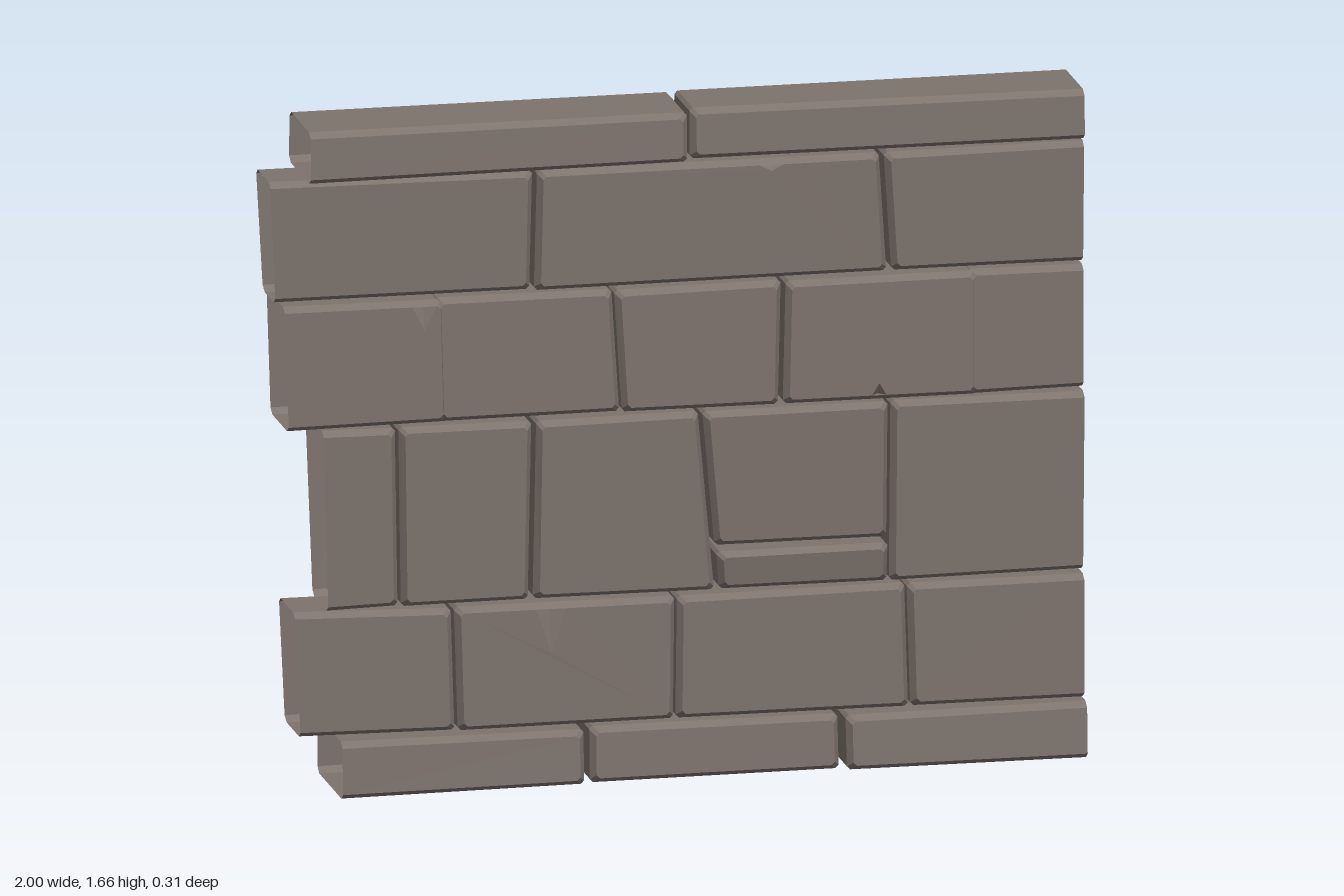
import * as THREE from 'three';

const { lerp } = THREE.MathUtils;
const BEVEL = 0.013; // bevel width across the face
const DEPTH = 0.02; // bevel width along z
const CUT = 0.008;

// One bevelled stone. q = bottom-left, bottom-right, top-right, top-left corners.
// z = [front at bottom, front at top, back at bottom, back at top].
// taper pulls the front face in towards the left end.
// Stones at the wall ends are hollow and open on that side.
function stoneGeometry(q, z, taper, openL, openR, chips) {
  const [bl, br, tr, tl] = q;
  const w = (br[0] - bl[0] + tr[0] - tl[0]) / 2;
  const h = (tl[1] - bl[1] + tr[1] - br[1]) / 2;
  const at = (u, v, k) => lerp(lerp(bl[k], br[k], u), lerp(tl[k], tr[k], u), v);
  const frontZ = (u, v) => lerp(z[0], z[1], v) - taper * (1 - u);
  const backZ = (u, v) => lerp(z[2], z[3], v);

  // Eight-point outline with cut corners, two points per corner
  const ring = (inset, faceZ, dz) => {
    const l = openL ? 0 : inset / w, r = openR ? 1 : 1 - inset / w;
    const b = inset / h, t = 1 - b;
    const cl = openL ? 0 : CUT, cr = openR ? 0 : CUT;
    return [[l, b + cl / h], [l + cl / w, b], [r - cr / w, b], [r, b + cr / h],
      [r, t - cr / h], [r - cr / w, t], [l + cl / w, t], [l, t - cl / h]]
      .map(([u, v]) => [at(u, v, 0), at(u, v, 1), faceZ(u, v) + dz]);
  };
  const rings = [ring(BEVEL, backZ, 0), ring(0, backZ, DEPTH),
    ring(0, frontZ, -DEPTH), ring(BEVEL, frontZ, 0)];

  const pos = [];
  const tri = (a, b, c) => pos.push(...a, ...b, ...c);
  for (let k = 0; k < 3; k++) {
    for (let i = 0; i < 8; i++) {
      if ((openL && i === 7) || (openR && i === 3)) continue;
      const j = (i + 1) % 8, A = rings[k], B = rings[k + 1];
      tri(A[i], A[j], B[j]);
      tri(A[i], B[j], B[i]);
    }
  }

  // Front or back face, with an optional chip in its top or bottom edge
  const cap = (loop, chip, isFront) => {
    const pts = [...loop];
    const put = (a, b, c) => (isFront ? tri(a, b, c) : tri(a, c, b));
    if (chip) {
      const e = chip.bottom ? 1 : 5, d = chip.bottom ? 1 : -1;
      const p = loop[e], n = loop[e + 1];
      const on = (x) => {
        const k = (x - p[0]) / (n[0] - p[0]);
        return [x, lerp(p[1], n[1], k), lerp(p[2], n[2], k)];
      };
      const a = on(chip.x - d * chip.half), b = on(chip.x + d * chip.half), m = on(chip.x);
      const tip = [chip.x, m[1] + d * chip.length, m[2]];
      m[2] += isFront ? -0.02 : 0.02;
      pts.splice(e + 1, 0, a, tip, b);
      put(a, m, tip);
      put(m, b, tip);
    }
    const flat = pts.map((p) => new THREE.Vector2(p[0], p[1]));
    for (const [a, b, c] of THREE.ShapeUtils.triangulateShape(flat, [])) put(pts[a], pts[b], pts[c]);
  };
  cap(rings[3], chips.front, true);
  cap(rings[0], chips.back, false);

  const g = new THREE.BufferGeometry();
  g.setAttribute('position', new THREE.Float32BufferAttribute(pos, 3));
  g.computeVertexNormals();
  return g;
}

// One row of stones between slanted joints, given by their x at the bottom and top.
// gaps = half width of each inner joint; below zero the stones run into each other.
function buildCourse(material, { name, y0, y1, z, bottom, top, gaps, thick, split, tapers = {}, chips = {} }) {
  const group = new THREE.Group();
  group.name = name;
  const last = thick.length - 1;
  const uneven = (k) => 0.005 * Math.abs(Math.sin(k * 2.3));

  thick.forEach((scale, i) => {
    const openL = i === 0, openR = i === last;
    const gl = openL ? 0 : gaps[i - 1], gr = openR ? 0 : gaps[i];
    const add = (low, high, label) => {
      const corner = (j, y, dx) => {
        const v = (y - y0) / (y1 - y0);
        return [lerp(bottom[j], top[j], v) + dx, y];
      };
      const q = [corner(i, low + uneven(i), gl), corner(i + 1, low + uneven(i + 1), -gr),
        corner(i + 1, high - uneven(i + 2), -gr), corner(i, high - uneven(i + 3), gl)];
      const depth = z.map((d) => d * scale);
      const mesh = new THREE.Mesh(
        stoneGeometry(q, depth, tapers[i] ?? 0, openL, openR, chips[i] ?? {}), material);
      mesh.name = label;
      group.add(mesh);
    };
    if (split && split.stone === i) {
      add(y0, split.y - 0.005, `stone${i + 1}Lower`);
      add(split.y, y1, `stone${i + 1}Upper`);
    } else {
      add(y0, y1, `stone${i + 1}`);
    }
  });
  return group;
}

export function createModel() {
  const stone = new THREE.MeshStandardMaterial({ color: 0x7d736d, side: THREE.DoubleSide });
  stone.name = 'brownGreyStone';
  const wall = new THREE.Group();
  wall.name = 'stoneWall';
  const add = (course) => wall.add(buildCourse(stone, course));

  add({
    name: 'baseCourse', y0: 0, y1: 0.143, z: [0.148, 0.14, -0.15, -0.145], gaps: [0.008, 0.008],
    bottom: [-0.835, -0.228, 0.402, 1], top: [-0.835, -0.228, 0.4, 1], thick: [0.96, 0.9, 1.03],
  });
  add({
    name: 'lowerCourse', y0: 0.143, y1: 0.456, z: [0.115, 0.117, -0.11, -0.11],
    gaps: [0.003, 0.003, 0.003],
    bottom: [-0.925, -0.545, -0.008, 0.572, 1], top: [-0.94, -0.555, -0.005, 0.562, 1],
    thick: [0.92, 1, 1, 0.98], tapers: { 0: 0.03 },
    chips: {
      1: { front: { x: -0.315, half: 0.037, length: 0.11 }, back: { x: -0.3, half: 0.02, length: 0.1 } },
      3: { back: { x: 0.615, half: 0.03, length: 0.07 } },
    },
  });
  add({
    name: 'tallCourse', y0: 0.456, y1: 0.911, z: [0.1, 0.117, -0.095, -0.11],
    gaps: [0.003, 0.006, 0.006, 0.003],
    bottom: [-0.86, -0.682, -0.36, 0.1, 0.522, 1], top: [-0.875, -0.692, -0.355, 0.055, 0.522, 1],
    thick: [0.9, 1, 1, 0.97, 1], split: { stone: 3, y: 0.565 },
  });
  add({
    name: 'middleCourse', y0: 0.911, y1: 1.224, z: [0.11, 0.11, -0.11, -0.11],
    gaps: [-0.012, 0.002, 0.006, -0.012],
    bottom: [-0.96, -0.577, -0.138, 0.255, 0.728, 1], top: [-0.97, -0.585, -0.158, 0.262, 0.728, 1],
    thick: [0.92, 0.91, 1, 1, 0.96],
    chips: {
      0: { front: { x: -0.625, half: 0.03, length: 0.06 } },
      3: {
        front: { x: 0.495, half: 0.018, length: 0.03, bottom: true },
        back: { x: 0.43, half: 0.018, length: 0.06, bottom: true },
      },
    },
  });
  add({
    name: 'upperCourse', y0: 1.224, y1: 1.53, z: [0.1, 0.112, -0.088, -0.1], gaps: [0.004, 0.006],
    bottom: [-0.985, -0.355, 0.525, 1], top: [-1, -0.35, 0.503, 1], thick: [0.85, 1, 1],
    tapers: { 0: 0.02 },
    chips: { 1: { front: { x: 0.23, half: 0.03, length: 0.015 } } },
  });
  add({
    name: 'copingCourse', y0: 1.53, y1: 1.66, z: [0.125, 0.12, -0.122, -0.117], gaps: [0.006],
    bottom: [-0.91, 0.028, 1], top: [-0.91, 0.028, 1], thick: [1, 0.96], tapers: { 1: 0.02 },
  });
  return wall;
}
